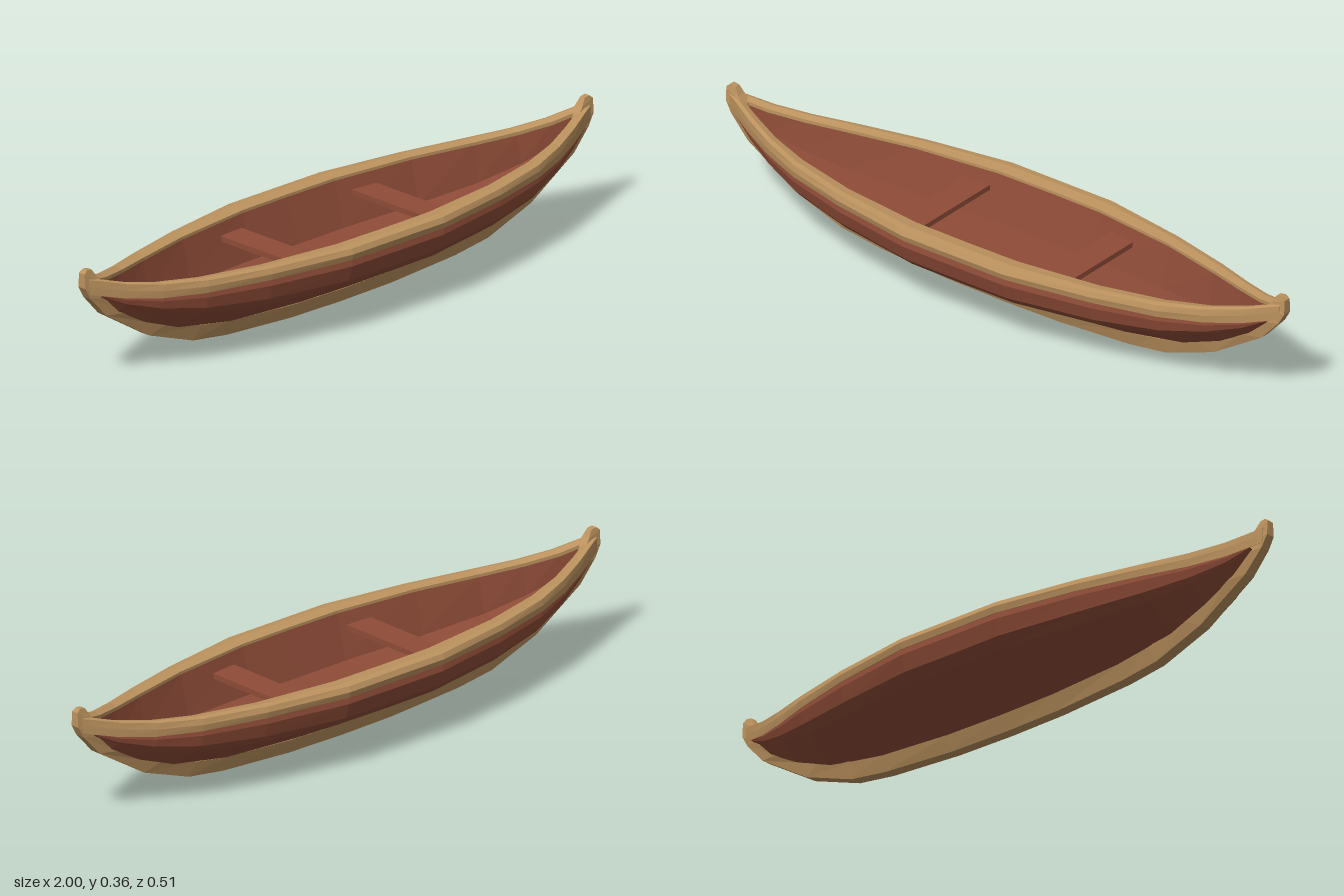
import * as THREE from 'three';

// Stations: x, outer half beam, inner half beam, rail bottom, rail top, hull bottom
const HALF = [
  [0, 0.25, 0.19, 0.238, 0.275, 0.047],
  [0.18, 0.25, 0.188, 0.238, 0.275, 0.05],
  [0.45, 0.204, 0.155, 0.238, 0.276, 0.066],
  [0.65, 0.152, 0.108, 0.238, 0.279, 0.102],
  [0.78, 0.103, 0.066, 0.243, 0.288, 0.152],
  [0.88, 0.06, 0.026, 0.257, 0.304, 0.208],
  [0.95, 0.03, 0, 0.275, 0.323, 0.268],
  [0.985, 0.016, 0, 0.285, 0.332, 0.28],
];

// Keel and stem: outer x, y, half width, then inner x, y, half width
const KEEL = [
  [0, 0.003, 0.017, 0, 0.049, 0.036],
  [0.2, 0.006, 0.017, 0.2, 0.052, 0.035],
  [0.45, 0.022, 0.018, 0.45, 0.068, 0.033],
  [0.58, 0.04, 0.018, 0.56, 0.085, 0.032],
  [0.75, 0.1, 0.018, 0.7, 0.122, 0.03],
  [0.92, 0.205, 0.017, 0.86, 0.2, 0.028],
  [0.98, 0.27, 0.015, 0.928, 0.264, 0.026],
  [1, 0.305, 0.014, 0.935, 0.31, 0.02],
  [1, 0.348, 0.011, 0.955, 0.332, 0.014],
  [0.988, 0.358, 0.009, 0.97, 0.355, 0.009],
];

// Extend a half table to the other end of the boat
function bothEnds(rows, xColumns) {
  const flip = (r) => r.map((v, i) => (xColumns.includes(i) ? -v : v));
  return [...rows.slice(1).reverse().map(flip), ...rows];
}

// Skin a run of rings; rings run outward-facing when going from -x to +x
function loft(rings, closed) {
  const pos = [];
  const tri = (...pts) => pts.forEach((p) => pos.push(...p));
  const n = rings[0].length;
  for (let i = 0; i < rings.length - 1; i++) {
    for (let j = 0; j < (closed ? n : n - 1); j++) {
      const k = (j + 1) % n;
      const [a, b, c, d] = [rings[i][j], rings[i + 1][j], rings[i + 1][k], rings[i][k]];
      tri(a, b, c);
      tri(a, c, d);
    }
  }
  // End caps on closed sections
  if (closed) {
    const first = rings[0];
    const last = rings[rings.length - 1];
    for (let j = 1; j < n - 1; j++) {
      tri(first[0], first[j], first[j + 1]);
      tri(last[0], last[j + 1], last[j]);
    }
  }
  const geometry = new THREE.BufferGeometry();
  geometry.setAttribute('position', new THREE.Float32BufferAttribute(pos, 3));
  geometry.computeVertexNormals();
  return geometry;
}

// Cross-sections on the +z side, as [z, y]
function outerSection([, w, , top, , bottom]) {
  const h = top - bottom;
  return [
    [Math.min(0.03, w * 0.4), bottom],
    [w * 0.82, top - h * 0.5],
    [w * 0.94, top - h * 0.35],
    [w, top - h * 0.1],
    [w * 0.985, top + 0.001],
  ];
}

// Steep side wall, then a flat floor to the centreline
function innerSection([, , w, railBottom, railTop, bottom]) {
  const floor = bottom + (railBottom - bottom) * 0.42;
  return [
    [w + 0.002, railTop - 0.012],
    [w * 0.82, floor],
    [0, floor],
  ];
}

function railSection([, w, wi, bottom, top]) {
  const h = top - bottom;
  return [
    [w * 0.95, bottom],
    [w * 0.995, bottom],
    [w * 1.018, bottom + h * 0.5],
    [w * 0.99, top - h * 0.08],
    [w + (wi - w) * 0.4, top],
    [wi, top - h * 0.12],
    [wi, top - h * 0.35],
  ];
}

export function createModel() {
  const model = new THREE.Group();
  const material = (name, color) => {
    const m = new THREE.MeshStandardMaterial({ color, flatShading: true, side: THREE.DoubleSide });
    m.name = name;
    return m;
  };
  const redWood = material('redBrownWood', 0x8f4c38);
  const paleWood = material('paleWood', 0xbd935f);

  const add = (name, geometry, mat) => {
    const mesh = new THREE.Mesh(geometry, mat);
    mesh.name = name;
    model.add(mesh);
    return mesh;
  };

  const stations = bothEnds(HALF, [0]);
  const hullStations = bothEnds(HALF.slice(0, 7), [0]);

  // Hull skins and gunwales, mirrored across the keel
  for (const [side, s] of [['front', 1], ['back', -1]]) {
    const rings = (rows, section) => rows.map((row) => {
      const ring = section(row).map(([z, y]) => [row[0], y, z * s]);
      return s > 0 ? ring : ring.reverse();
    });
    add(`${side}OuterHull`, loft(rings(hullStations, outerSection), false), redWood);
    add(`${side}InnerHull`, loft(rings(hullStations, innerSection), false), redWood);
    add(`${side}Gunwale`, loft(rings(stations, railSection), true), paleWood);
  }

  // One continuous keel that sweeps up into both stem posts
  const keelRings = bothEnds(KEEL, [0, 3]).map(([ox, oy, a, ix, iy, b]) => [
    [ox, oy, a], [ix, iy, b], [ix, iy, -b], [ox, oy, -a],
  ]);
  add('keelAndStems', loft(keelRings, true), paleWood);

  // Plank seats
  for (const [name, x] of [['rightSeat', -0.245], ['leftSeat', 0.275]]) {
    add(name, new THREE.BoxGeometry(0.088, 0.016, 0.345), redWood).position.set(x, 0.218, 0);
  }

  return model;
}
